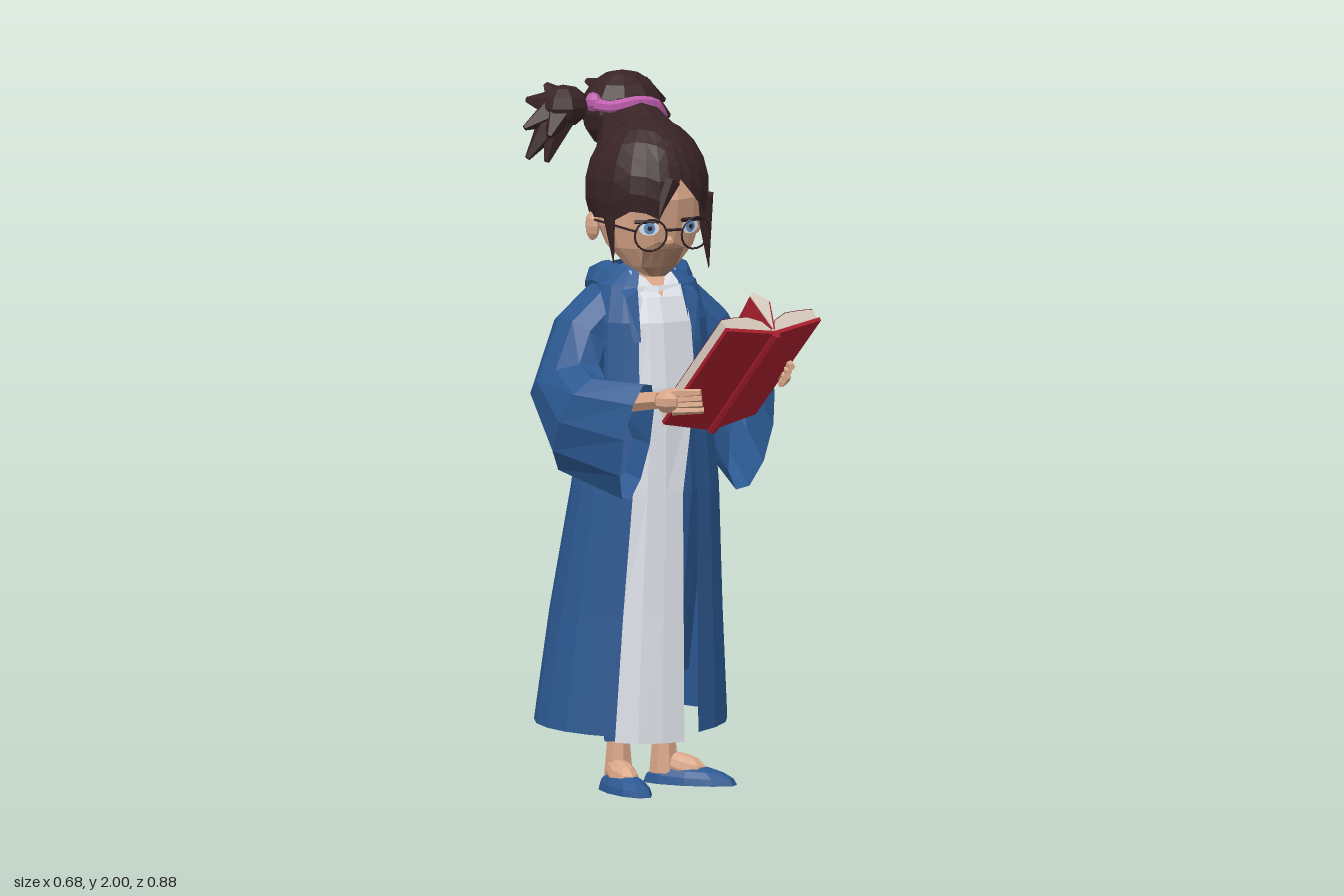
import * as THREE from 'three';

const mat = (name, color) => new THREE.MeshStandardMaterial({ name, color, flatShading: true, side: THREE.DoubleSide });
const V = (p) => new THREE.Vector3(...p);

export function createModel() {
  const model = new THREE.Group();
  const blue = mat('robeBlue', 0x2c5992), white = mat('white', 0xdbdfe6), skin = mat('skin', 0xd9a688);
  const hair = mat('hairBrown', 0x382325), red = mat('bookRed', 0xa81e2d), cream = mat('pageCream', 0xd6c9bd);
  const pink = mat('bandPink', 0xbf5fae), dark = mat('frameDark', 0x2f1e24), iris = mat('irisBlue', 0x5b8cc0);
  const tan = mat('lowerFaceTan', 0xa57e66);

  const add = (name, geo, m) => {
    const g = geo.index ? geo.toNonIndexed() : geo;
    g.computeVertexNormals();
    const mesh = new THREE.Mesh(g, m);
    mesh.name = name;
    model.add(mesh);
    return mesh;
  };
  // Surface through cross-sections, each an array of points
  const loft = (name, rows, m, closed = true, caps = false) => {
    const n = rows[0].length, pos = rows.flat().flatMap((p) => [p.x, p.y, p.z]), idx = [];
    for (let r = 0; r < rows.length - 1; r++)
      for (let i = 0; i < (closed ? n : n - 1); i++) {
        const a = r * n + i, b = r * n + (i + 1) % n;
        idx.push(a, b, b + n, a, b + n, a + n);
      }
    if (caps) for (let i = 1; i < n - 1; i++) {
      const o = (rows.length - 1) * n;
      idx.push(0, i + 1, i, o, o + i, o + i + 1);
    }
    const g = new THREE.BufferGeometry();
    g.setAttribute('position', new THREE.Float32BufferAttribute(pos, 3));
    g.setIndex(idx);
    return add(name, g, m);
  };
  // Ellipse with centre c and half axes u, v
  const oval = (c, u, v, n = 10) => Array.from({ length: n }, (_, i) => {
    const a = i / n * Math.PI * 2;
    return V(c).addScaledVector(V(u), Math.cos(a)).addScaledVector(V(v), Math.sin(a));
  });
  // Tapered rod between two points
  const rod = (name, a, b, r0, r1, m, n = 6) => {
    const A = V(a), B = V(b), d = B.clone().sub(A);
    const g = new THREE.CylinderGeometry(r1, r0, d.length(), n);
    g.applyQuaternion(new THREE.Quaternion().setFromUnitVectors(V([0, 1, 0]), d.normalize()));
    g.translate(...A.add(B).multiplyScalar(0.5).toArray());
    return add(name, g, m);
  };
  const ball = (name, c, s, m, w = 10, h = 7) => {
    const mesh = add(name, new THREE.SphereGeometry(1, w, h).scale(...s), m);
    mesh.position.set(...c);
    return mesh;
  };
  const tube = (name, pts, r, m, n = 7, seg = 14) =>
    add(name, new THREE.TubeGeometry(new THREE.CatmullRomCurve3(pts.map(V)), seg, r, n), m);

  // Robe: y, centre x, centre z, radius x, radius z; open at the front
  const body = [[0.165, -0.045, -0.16, 0.28, 0.217], [0.5, -0.035, -0.145, 0.25, 0.202], [0.85, -0.025, -0.105, 0.215, 0.167],
    [1.15, -0.02, -0.09, 0.18, 0.147], [1.33, -0.02, -0.095, 0.17, 0.132], [1.43, -0.02, -0.11, 0.145, 0.11], [1.48, -0.02, -0.13, 0.09, 0.08]];
  const at = ([y, cx, cz, rx, rz], a, k = 1, off = 0) =>
    new THREE.Vector3(cx + Math.sin(a) * rx * k, y, cz + Math.cos(a) * rz * k + off);
  const robe = body.map((b) => Array.from({ length: 19 }, (_, i) => at(b, 0.46 + (Math.PI * 2 - 0.92) * i / 18)));
  robe[0].forEach((p, i) => { p.y += 0.03 * Math.sin(i / 18 * Math.PI); });
  loft('robe', robe, blue, false);
  // White front panel, wider at the chest
  loft('frontPanel', body.slice(0, 6).map((b, i) => {
    const end = i < 3 ? 0.2 : 0.5, off = [0.045, 0.03, 0.012, 0.006, 0.002, -0.006][i];
    const row = [-0.48, -0.3, -0.05, end].map((a) => at(b, a, 1, a < -0.4 ? 0.003 : off));
    row.push(at(b, end, 0.9, 0));
    if (i === 0) row.forEach((p) => { p.y -= 0.015; });
    return row;
  }), white, false);
  loft('innerDress', [[0.33, -0.03, -0.13, 0.14, 0.13], ...body.slice(2, 5)].map((b, i) =>
    Array.from({ length: 12 }, (_, k) => at(b, k / 6 * Math.PI, i ? 0.85 : 1))), blue, true, true);
  // White neckline with a small bare V
  for (const s of [-1, 1])
    loft('neckline', [[V([-0.022, 1.4, 0.014]), V([-0.022 + s * 0.03, 1.45, -0.04])],
      [V([-0.022 + s * 0.06, 1.4, 0.01]), V([-0.022 + s * 0.07, 1.47, -0.06])]], white, false);
  loft('bareNeckline', [[V([-0.052, 1.45, -0.04]), V([0.008, 1.45, -0.04])], [V([-0.022, 1.4, 0.016]), V([-0.022, 1.4, 0.016])]], skin, false);

  // Hood folded down the back
  tube('hood', [[-0.09, 1.42, -0.08], [-0.12, 1.435, -0.15], [-0.1, 1.41, -0.22], [-0.02, 1.37, -0.265],
    [0.06, 1.41, -0.22], [0.08, 1.435, -0.15], [0.05, 1.42, -0.08]], 0.054, blue, 8, 14);
  ball('hoodBack', [-0.02, 1.37, -0.235], [0.13, 0.095, 0.085], blue);
  for (const s of [-1, 1])
    loft('collar', [[V([-0.02 + s * 0.1, 1.47, -0.12]), V([-0.02 + s * 0.06, 1.49, -0.1])],
      [V([-0.02 + s * 0.11, 1.4, 0.005]), V([-0.02 + s * 0.07, 1.42, 0])],
      [V([-0.02 + s * 0.1, 1.28, 0.04]), V([-0.02 + s * 0.08, 1.28, 0.048])]], blue, false);

  // Wide sleeves; u points outward, v forward then up
  loft('rightSleeve', [oval([-0.08, 1.4, -0.14], [-0.03, 0.08, 0], [0, 0, 0.09]),
    oval([-0.195, 1.28, -0.145], [-0.075, 0.055, 0], [0, 0.01, 0.11]),
    oval([-0.25, 1.15, -0.12], [-0.092, 0.01, -0.01], [0.02, 0.07, 0.11]),
    oval([-0.25, 1.045, -0.02], [-0.09, 0.02, 0.04], [0.02, 0.145, 0.08]),
    oval([-0.155, 1.015, 0.15], [-0.06, 0.015, 0.05], [0.02, 0.175, 0.035])], blue);
  loft('leftSleeve', [oval([0.04, 1.4, -0.14], [0.03, 0.08, 0], [0, 0, 0.09]),
    oval([0.16, 1.28, -0.15], [0.07, 0.055, 0], [0, 0.01, 0.11]),
    oval([0.225, 1.15, -0.15], [0.095, 0.01, 0], [-0.01, 0.07, 0.1]),
    oval([0.23, 1.055, -0.09], [0.085, 0.02, 0.01], [0, 0.14, 0.095]),
    oval([0.228, 1.015, 0.065], [0.062, 0.015, 0.01], [0.02, 0.172, 0.02])], blue);

  // Arms and hands
  rod('rightForearm', [-0.22, 1.1, -0.02], [-0.11, 1.14, 0.21], 0.035, 0.025, skin);
  rod('leftForearm', [0.24, 1.12, -0.08], [0.27, 1.2, 0.1], 0.035, 0.025, skin);
  ball('rightPalm', [-0.095, 1.14, 0.235], [0.04, 0.035, 0.04], skin, 7, 5);
  ball('leftPalm', [0.28, 1.2, 0.14], [0.03, 0.038, 0.05], skin, 7, 5);
  rod('rightThumb', [-0.1, 1.15, 0.21], [-0.01, 1.175, 0.205], 0.018, 0.009, skin, 5);
  rod('leftThumb', [0.28, 1.21, 0.11], [0.235, 1.25, 0.135], 0.018, 0.009, skin, 5);
  for (let i = 0; i < 4; i++) {
    rod('rightFinger', [-0.09, 1.115 + i * 0.016, 0.25], [-0.005 - i * 0.006, 1.115 + i * 0.018, 0.275 + i * 0.008], 0.014, 0.01, skin, 5);
    rod('leftFinger', [0.295, 1.175 + i * 0.016, 0.16], [0.255 + i * 0.005, 1.165 + i * 0.018, 0.215 + i * 0.014], 0.014, 0.01, skin, 5);
  }

  // Open book: boards, arched page blocks and red page faces
  const N = V([-0.1, 0.68, -0.72]);
  const lift = (p, h, dx = 0) => p.clone().addScaledVector(N, h).add(V([dx, 0, 0]));
  const spine = [V([0.085, 1.03, 0.115]), V([0.17, 1.335, 0.385])];
  const sides = [[V([-0.085, 1.065, 0.175]), V([0, 1.36, 0.435])], [V([0.24, 1.06, 0.065]), V([0.335, 1.355, 0.315])]];
  for (const [b, t] of sides) {
    const quad = [spine[0], b, t, spine[1]];
    loft('bookCover', [0, 0.012].map((h) => quad.map((p) => lift(p, h))), red, true, true);
    const arch = [[0.02, 0.022], [0.15, 0.05], [0.4, 0.062], [0.7, 0.056], [0.97, 0.046]].map(([k, h]) => {
      const lo = spine[0].clone().lerp(b, k), hi = spine[1].clone().lerp(t, k), d = hi.clone().sub(lo).multiplyScalar(0.015);
      return { lo: lo.add(d), hi: hi.sub(d), h };
    });
    loft('pageBlock', arch.map(({ lo, hi, h }) => [lift(lo, 0.011), lift(lo, h), lift(hi, h), lift(hi, 0.011)]), cream, true, true);
    loft('pageFace', arch.map(({ lo, hi, h }) => [lift(lo, h + 0.002), lift(hi, h + 0.002)]), red, false);
  }
  rod('bookSpine', spine[0].toArray(), spine[1].toArray(), 0.014, 0.014, red);
  // Sheaf of pages standing at the spine: cream ends, red sides
  const sheaf = (j, h, dx) => lift(spine[j], h * (j ? 1 : 0.6), dx);
  loft('standingPages', [0, 1].map((j) => [sheaf(j, 0.02, 0), sheaf(j, 0.14, -0.022), sheaf(j, 0.155, -0.01), sheaf(j, 0.12, 0.025)]), cream, true, true);
  for (const [dx, h] of [[-0.025, 0.14], [0.028, 0.12]])
    loft('standingPageFace', [0, 1].map((j) => [sheaf(j, 0.02, dx * 0.15), sheaf(j, h, dx)]), red, false);

  // Legs and slippers
  for (const [name, top, ankle, c, yaw, len] of [
    ['right', [-0.1, 0.5, -0.12], [-0.115, 0.135, -0.08], [-0.122, 0, -0.015], 0.05, 0.135],
    ['left', [0.03, 0.5, -0.14], [0.05, 0.135, -0.145], [0.11, 0, -0.1], 0.85, 0.14]]) {
    rod(name + 'Trouser', top, ankle, 0.065, 0.042, blue, 8);
    rod(name + 'Ankle', ankle, [ankle[0], 0.03, ankle[2]], 0.033, 0.042, skin, 7);
    const g = new THREE.SphereGeometry(1, 10, 8), p = g.attributes.position;
    for (let i = 0; i < p.count; i++) {
      const z = p.getZ(i), y = p.getY(i);
      p.setXYZ(i, p.getX(i) * 0.056, y < 0 ? 0 : y * (0.056 - z * 0.012), z * len);
    }
    const shoe = add(name + 'Shoe', g, blue);
    shoe.position.set(...c);
    shoe.rotation.y = yaw;
    const foot = ball(name + 'Instep', [c[0] - Math.sin(yaw) * 0.02, 0.045, c[2] - Math.cos(yaw) * 0.02], [0.04, 0.04, 0.078], skin, 8, 6);
    foot.rotation.set(0.25, yaw, 0, 'YXZ');
  }

  // Neck and head
  rod('neck', [-0.025, 1.38, -0.13], [-0.025, 1.54, -0.11], 0.058, 0.05, skin, 9);
  const skull = [[1.457, -0.035, 0.028, 0.03], [1.485, -0.055, 0.075, 0.065], [1.54, -0.07, 0.125, 0.105], [1.6, -0.08, 0.147, 0.13],
    [1.68, -0.085, 0.15, 0.15], [1.78, -0.09, 0.12, 0.12]];
  loft('head', skull.map(([y, z, rx, rz]) => oval([-0.025, y, z], [rx, 0, 0], [0, 0, rz], 14)), skin, true, true);
  // Darker plate over mouth and chin
  loft('lowerFace', [...skull.slice(0, 3), [1.56, -0.073, 0.132, 0.113]].map(([y, z, rx, rz], i) =>
    [-1, -0.5, 0, 0.5, 1].map((k) => at([y, -0.025, z, rx, rz], k * [0.9, 0.75, 0.5, 0.15][i], 1.04, 0.004))), tan, false);
  ball('nose', [-0.018, 1.563, 0.05], [0.014, 0.016, 0.02], skin, 6, 5);
  for (const s of [-1, 1]) ball('ear', [-0.027 + s * 0.155, 1.595, -0.11], [0.02, 0.042, 0.028], skin, 7, 6);

  // Eyes and glasses
  for (const s of [-1, 1]) {
    const x = -0.016 + s * 0.068;
    for (const [name, r, z, m, sx] of [['eyeWhite', 0.021, 0.053, white, 1.4], ['iris', 0.017, 0.057, iris, 0.95], ['pupil', 0.007, 0.06, dark, 1]]) {
      const e = add(name, new THREE.CircleGeometry(r, 12).scale(sx, 1, 1), m);
      e.position.set(x - s * 0.006, 1.603, z);
      e.rotation.y = s * 0.3;
    }
    rod('eyelash', [x - 0.034, 1.622, 0.06 - (s < 0 ? 0.015 : 0)], [x + 0.034, 1.622, 0.06 - (s > 0 ? 0.015 : 0)], 0.006, 0.006, dark, 4);
    const rim = add('glassesRim', new THREE.TorusGeometry(0.046, 0.003, 5, 18), dark);
    rim.position.set(x, 1.587, 0.08);
    rim.rotation.set(0.15, s * 0.15, 0);
    rod('glassesArm', [x + s * 0.045, 1.6, 0.07], [-0.027 + s * 0.16, 1.615, -0.1], 0.004, 0.004, dark, 4);
  }
  rod('glassesBridge', [-0.038, 1.6, 0.085], [0.006, 1.6, 0.085], 0.004, 0.004, dark, 4);

  // Hair cap whose lower edge follows the fringe, ears and nape (angle, polar limit)
  const edge = [[-3.142, 2.5], [-2.4, 2.45], [-1.8, 2.0], [-1.4, 1.95], [-1.0, 1.95], [-0.7, 1.8], [-0.45, 1.82], [-0.22, 1.92], [-0.05, 1.6],
    [0.15, 1.35], [0.35, 1.55], [0.6, 1.75], [0.9, 1.92], [1.3, 2.0], [1.8, 2.0], [2.4, 2.45], [3.142, 2.5]];
  const cap = Array.from({ length: 8 }, (_, r) => edge.map(([a, lim]) => {
    const t = lim * r / 7;
    return new THREE.Vector3(-0.028 + Math.sin(a) * Math.sin(t) * 0.174, 1.7 + Math.cos(t) * 0.2, -0.085 + Math.cos(a) * Math.sin(t) * 0.195);
  }));
  loft('hairCap', cap, hair);
  rod('hairGather', [-0.025, 1.79, -0.14], [-0.01, 1.875, -0.27], 0.13, 0.08, hair, 10);
  for (const [a, b, r] of [[[-0.175, 1.68, -0.01], [-0.165, 1.5, 0.005], 0.024], [[0.115, 1.68, -0.01], [0.142, 1.465, -0.04], 0.03],
    [[-0.03, 1.74, 0.09], [-0.075, 1.64, 0.118], 0.03]]) rod('hairLock', a, b, r, 0.001, hair, 5);

  // Bun, side ponytail and hair band
  ball('bun', [-0.006, 1.882, -0.315], [0.12, 0.116, 0.114], hair, 10, 8);
  for (const [a, b] of [[[0.06, 1.93, -0.32], [0.135, 1.9, -0.35]], [[0.06, 1.9, -0.3], [0.13, 1.86, -0.3]], [[-0.02, 1.93, -0.36], [-0.07, 1.955, -0.425]],
    [[0.02, 1.92, -0.36], [0.05, 1.94, -0.437]], [[0.02, 1.86, -0.38], [0.05, 1.86, -0.44]]])
    rod('bunStrand', a, b, 0.045, 0.008, hair, 5);
  ball('ponytail', [-0.21, 1.915, -0.255], [0.075, 0.06, 0.07], hair, 8, 6);
  for (const b of [[-0.325, 1.775, -0.24], [-0.275, 1.765, -0.22], [-0.33, 1.86, -0.25], [-0.3, 1.93, -0.31], [-0.25, 1.975, -0.29], [-0.28, 1.84, -0.19]])
    rod('ponytailStrand', [-0.215, 1.915, -0.25], b, 0.058, 0.008, hair, 5);
  tube('hairBand', [[-0.13, 1.92, -0.225], [-0.095, 1.915, -0.185], [-0.02, 1.925, -0.18], [0.05, 1.91, -0.2], [0.075, 1.87, -0.22]], 0.017, pink, 6, 10);
  ball('bandKnot', [-0.13, 1.925, -0.23], [0.024, 0.028, 0.026], pink, 7, 5);

  return model;
}
